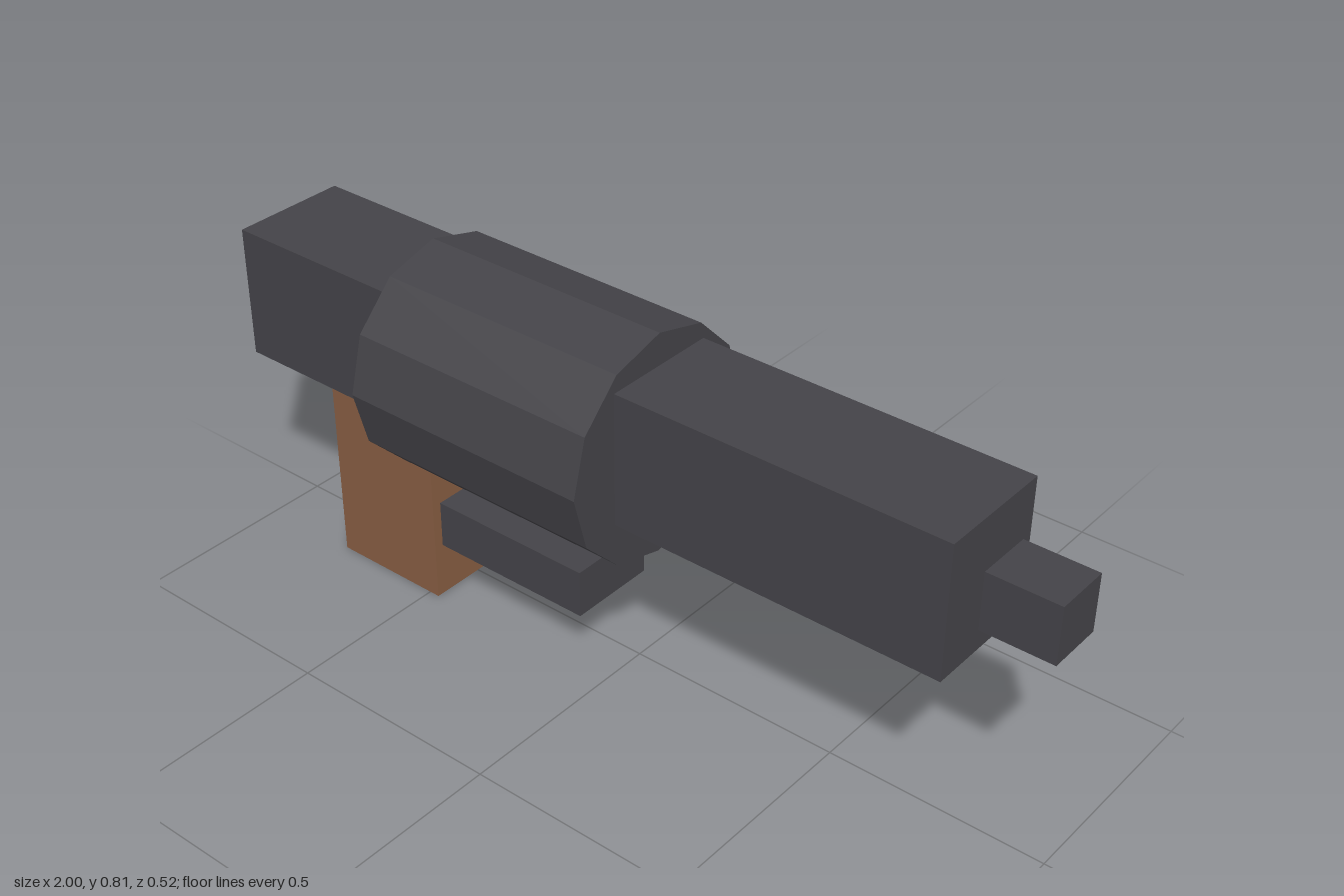
import * as THREE from 'three';

export function createModel() {
  const group = new THREE.Group();
  const gunmetal = new THREE.MeshStandardMaterial({ color: 0x444348, flatShading: true });
  gunmetal.name = 'gunmetal';
  const wood = new THREE.MeshStandardMaterial({ color: 0x875d42, flatShading: true });
  wood.name = 'wood';

  // Box given by its x range, y range and depth
  function block(name, material, x0, x1, y0, y1, depth) {
    const mesh = new THREE.Mesh(new THREE.BoxGeometry(x1 - x0, y1 - y0, depth), material);
    mesh.position.set((x0 + x1) / 2, (y0 + y1) / 2, 0);
    mesh.name = name;
    group.add(mesh);
  }

  block('barrel', gunmetal, -1, 0.815, 0.435, 0.74, 0.274);
  block('muzzleTip', gunmetal, 0.84, 1, 0.522, 0.652, 0.128);
  block('grip', wood, -0.765, -0.475, 0, 0.44, 0.256);
  block('trigger', gunmetal, -0.48, -0.075, 0.127, 0.239, 0.21);

  // Twelve-sided drum lying along the barrel, one edge on top
  const drum = new THREE.Mesh(new THREE.CylinderGeometry(0.258, 0.258, 0.605, 12), gunmetal);
  drum.rotation.z = Math.PI / 2;
  drum.position.set(-0.2525, 0.555, 0);
  drum.name = 'drum';
  group.add(drum);

  return group;
}
